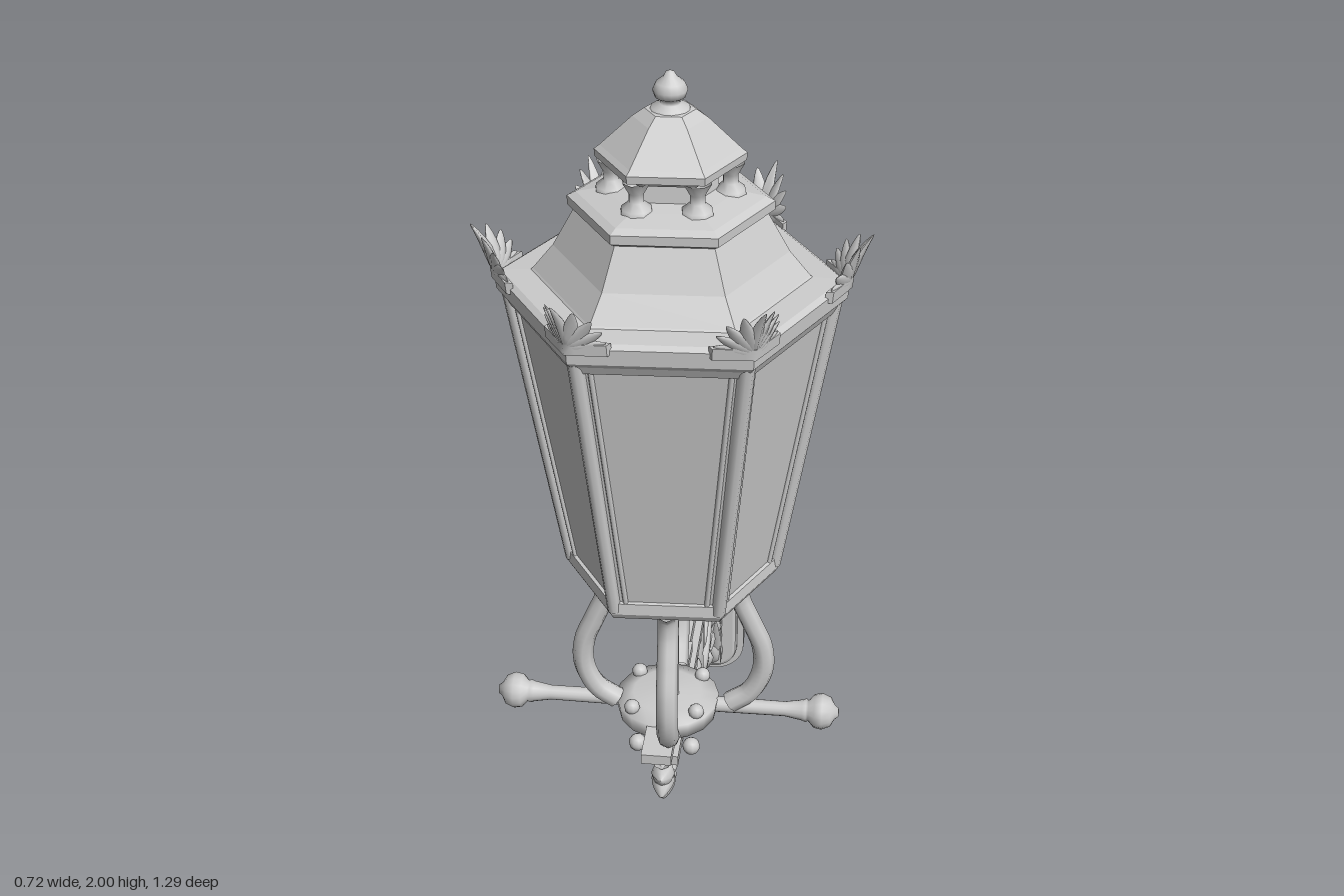
import * as THREE from 'three';
import { mergeGeometries } from 'three/addons/utils/BufferGeometryUtils.js';

const smooth = new THREE.MeshStandardMaterial({ color: 0xcccccc, side: THREE.DoubleSide });
const faceted = new THREE.MeshStandardMaterial({ color: 0xcccccc, flatShading: true, side: THREE.DoubleSide });
const V = (x, y, z) => new THREE.Vector3(x, y, z);

function add(parent, name, geometry, material = smooth, pos = [0, 0, 0]) {
  const mesh = new THREE.Mesh(geometry, material);
  mesh.name = name;
  mesh.position.set(...pos);
  parent.add(mesh);
  return mesh;
}

// Turned profile of [radius, height] pairs; six sides puts corners on the x axis
function turned(profile, sides = 6) {
  const pts = profile.map(([r, y]) => new THREE.Vector2(r, y));
  return new THREE.LatheGeometry(pts, sides, Math.PI / 6);
}

// Tube whose radius runs from r0 to r1
function taperedTube(points, r0, r1, segments = 40) {
  const curve = new THREE.CatmullRomCurve3(points);
  const g = new THREE.TubeGeometry(curve, segments, 1, 8);
  const p = g.attributes.position, v = V();
  for (let i = 0; i < p.count; i++) {
    const t = Math.floor(i / 9) / segments, c = curve.getPointAt(t);
    v.fromBufferAttribute(p, i).sub(c).multiplyScalar(r0 + (r1 - r0) * t).add(c);
    p.setXYZ(i, v.x, v.y, v.z);
  }
  return g;
}

// Pointed leaf growing along +y from the origin
function leafGeometry(length, width, thick) {
  const g = new THREE.SphereGeometry(1, 8, 8);
  const p = g.attributes.position;
  for (let i = 0; i < p.count; i++) {
    const y = p.getY(i), taper = 1 - 0.45 * y;
    p.setXYZ(i, p.getX(i) * taper * width / 2, (y + 1) * length / 2, p.getZ(i) * taper * thick / 2);
  }
  g.computeVertexNormals();
  return g;
}

// Fan of leaves folded around a 120 degree corner and leaning outward (+z)
function palmetteGeometry() {
  const leaves = [];
  for (let i = -4; i <= 4; i++) {
    leaves.push(leafGeometry(0.095 - Math.abs(i) * 0.008, 0.024, 0.016).rotateZ(-i * 0.34));
  }
  leaves.push(new THREE.BoxGeometry(0.13, 0.022, 0.014, 8, 1, 1));
  const g = mergeGeometries(leaves);
  const p = g.attributes.position;
  for (let i = 0; i < p.count; i++) {
    const x = p.getX(i), y = p.getY(i);
    p.setZ(i, p.getZ(i) - Math.abs(x) * 0.55 + Math.max(0, y) * 0.2 + y * y * 2.5);
  }
  g.computeVertexNormals();
  return g;
}

function buildLantern() {
  const lantern = new THREE.Group();
  lantern.name = 'lantern';
  const corner = (i, r, y) => V(r * Math.cos(i * Math.PI / 3), y, r * Math.sin(i * Math.PI / 3));

  add(lantern, 'glassPanes', turned([[0, 1.0], [0.197, 1.0], [0.292, 1.57]]), faceted);
  add(lantern, 'lowerRail', turned([[0.17, 0.99], [0.175, 0.972], [0.2, 0.972], [0.208, 0.985], [0.206, 1.008], [0.19, 1.012]]), faceted);
  add(lantern, 'eave', turned([[0.28, 1.545], [0.299, 1.548], [0.308, 1.565], [0.318, 1.575], [0.32, 1.605], [0.308, 1.612], [0.25, 1.615]]), faceted);
  add(lantern, 'roof', turned([[0.27, 1.6], [0.25, 1.618], [0.212, 1.665], [0.172, 1.738], [0.184, 1.745], [0.184, 1.762], [0.168, 1.77], [0.12, 1.78], [0.085, 1.785], [0.08, 1.84]]), faceted);
  add(lantern, 'chimneyCap', turned([[0.07, 1.812], [0.1, 1.822], [0.115, 1.835], [0.133, 1.838], [0.134, 1.852], [0.124, 1.86], [0.066, 1.915], [0.045, 1.93], [0, 1.935]]), faceted);
  add(lantern, 'finial', turned([[0.038, 1.922], [0.034, 1.934], [0.018, 1.94], [0.017, 1.947], [0.027, 1.953], [0.031, 1.965], [0.025, 1.978], [0.012, 1.988], [0.008, 1.996], [0, 2.0]], 16));

  // Corner posts, edge beads, chimney columns and crowning leaves
  for (let i = 0; i < 6; i++) {
    const yaw = Math.PI / 2 - i * Math.PI / 3;
    const a = corner(i, 0.197, 0.99), b = corner(i, 0.294, 1.57);
    add(lantern, 'cornerPost', taperedTube([a, b], 0.013, 0.015, 1));
    for (const j of [i + 1, i - 1]) {
      const c = a.clone().lerp(corner(j, 0.197, 0.99), 0.12), d = b.clone().lerp(corner(j, 0.294, 1.57), 0.08);
      add(lantern, 'paneBead', taperedTube([c, d], 0.005, 0.005, 1));
    }
    const column = turned([[0.03, 0], [0.028, 0.012], [0.014, 0.024], [0.014, 0.04], [0.026, 0.062]], 8);
    add(lantern, 'chimneyColumn', column, smooth, corner(i, 0.105, 1.772).toArray());
    add(lantern, 'cornerLeaves', palmetteGeometry(), smooth, corner(i, 0.318, 1.607).toArray()).rotation.y = yaw;
  }

  // Four bowed legs and a central rod
  for (let i = 0; i < 4; i++) {
    const path = [[0.165, 0.985], [0.135, 0.955], [0.132, 0.91], [0.155, 0.85], [0.178, 0.79], [0.18, 0.73], [0.155, 0.675], [0.115, 0.645]];
    const leg = add(lantern, 'leg', taperedTube(path.map(([x, y]) => V(x, y, 0)), 0.02, 0.022, 30));
    leg.rotation.y = i * Math.PI / 2;
  }
  add(lantern, 'centralRod', new THREE.CylinderGeometry(0.012, 0.012, 0.37, 10), smooth, [0, 0.815, 0]);
  lantern.position.set(0.013, 0, 0.338);
  lantern.rotation.y = 0.05;
  return lantern;
}

function buildSupport() {
  const support = new THREE.Group();
  support.name = 'support';
  // Cross bar with ball ends, under the lantern
  for (const s of [1, -1]) {
    const bar = turned([[0.022, 0], [0.016, 0.08], [0.015, 0.24], [0.021, 0.275], [0.024, 0.283], [0.021, 0.288], [0.034, 0.3], [0.037, 0.316], [0.03, 0.333], [0.014, 0.342], [0.009, 0.349], [0, 0.35]], 16);
    add(support, 'crossBar', bar, smooth, [0, 0.635, 0.33]).rotation.z = -s * Math.PI / 2;
  }
  add(support, 'saddlePlate', new THREE.BoxGeometry(0.06, 0.022, 0.38), smooth, [0, 0.635, 0.33]);
  add(support, 'saddleDisc', turned([[0, 0.6], [0.06, 0.6], [0.1, 0.615], [0.105, 0.65], [0.07, 0.66], [0, 0.665]], 16), smooth, [0, 0, 0.33]);
  for (const x of [-1, 1]) for (const z of [-1, 1]) {
    add(support, 'bolt', new THREE.SphereGeometry(0.016, 10, 8), smooth, [x * 0.065, 0.66, 0.33 + z * 0.06]);
    add(support, 'lowerBolt', new THREE.SphereGeometry(0.018, 10, 8), smooth, [x * 0.055, 0.57, 0.33 + z * 0.06]);
  }
  // Arm: flanged beam to the wall
  add(support, 'armFlange', new THREE.BoxGeometry(0.072, 0.022, 1.06), smooth, [0, 0.582, -0.075]);
  add(support, 'armWeb', new THREE.BoxGeometry(0.04, 0.04, 1.04), smooth, [0, 0.595, -0.085]);
  return support;
}

function stadium(w, y0, y1, Type = THREE.Shape) {
  const s = new Type();
  s.absarc(0, y1 - w, w, 0, Math.PI, false);
  s.absarc(0, y0 + w, w, Math.PI, Math.PI * 2, false);
  s.closePath();
  return s;
}

function buildWallPlate() {
  const plate = new THREE.Group();
  plate.name = 'wallPlate';
  const slab = (s, depth, bevel) => new THREE.ExtrudeGeometry(s, {
    depth, bevelEnabled: bevel > 0, bevelSize: bevel, bevelThickness: bevel, bevelSegments: 2, curveSegments: 14,
  });
  const rim = stadium(0.076, 0.005, 0.662);
  rim.holes.push(stadium(0.05, 0.032, 0.635, THREE.Path));
  add(plate, 'rim', slab(rim, 0.025, 0), smooth, [0, 0, -0.635]);
  add(plate, 'face', slab(stadium(0.05, 0.035, 0.632), 0.02, 0.01), smooth, [0, 0, -0.615]);
  add(plate, 'spine', new THREE.BoxGeometry(0.045, 0.53, 0.03), smooth, [0, 0.32, -0.575]);
  for (const y of [0.075, 0.61]) add(plate, 'screw', new THREE.SphereGeometry(0.016, 10, 8), smooth, [0, y, -0.588]);
  return plate;
}

function buildScrollwork() {
  const work = new THREE.Group();
  work.name = 'scrollwork';
  const vine = (pts, r0, r1) => add(work, 'vine', taperedTube(pts.map(([z, y]) => V(0, y, z)), r0, r1, 60));
  // Spiral from radius r0 to r1, starting at angle a, ending in a bud
  const spiral = (z, y, r0, r1, a, turns, thick) => {
    const pts = [];
    for (let i = 0; i <= 24; i++) {
      const t = i / 24, r = r0 + (r1 - r0) * t, q = a + turns * t * Math.PI * 2;
      pts.push([z + r * Math.cos(q), y + r * Math.sin(q)]);
    }
    vine(pts, thick, thick * 0.6);
    add(work, 'bud', new THREE.SphereGeometry(thick * 1.2, 10, 8), smooth, [0, ...pts[24].reverse()]);
  };
  // Leaf in the z-y plane; angle 0 points to +z, a quarter turn points up
  const leaf = (z, y, angle, length, width = 0.04) => {
    const mesh = add(work, 'leaf', leafGeometry(length, 0.045, width), smooth, [0, y, z]);
    mesh.rotation.x = Math.PI / 2 - angle;
  };

  vine([[0.43, 0.56], [0.36, 0.53], [0.28, 0.475], [0.17, 0.425], [0.04, 0.4], [-0.06, 0.425], [-0.14, 0.5], [-0.24, 0.555]], 0.02, 0.017);
  spiral(0.385, 0.505, 0.05, 0.016, 1.6, 1.1, 0.017);
  spiral(0.1, 0.505, 0.062, 0.02, -1.4, -1.2, 0.015);
  spiral(-0.32, 0.37, 0.155, 0.025, 2.2, -2.1, 0.02);
  vine([[-0.59, 0.07], [-0.54, 0.16], [-0.47, 0.25], [-0.4, 0.26], [-0.32, 0.225]], 0.026, 0.014);
  vine([[-0.57, 0.16], [-0.53, 0.28], [-0.48, 0.38], [-0.46, 0.47], [-0.4, 0.545], [-0.32, 0.56]], 0.018, 0.015);
  spiral(-0.53, 0.52, 0.045, 0.014, -2, 1, 0.013);
  vine([[0.16, 0.425], [0.11, 0.43], [0.085, 0.445]], 0.015, 0.012);

  // Leaf sprays: below the vine, along the wall, at the nose and the great scroll
  for (let i = 0; i < 6; i++) leaf(-0.08, 0.41, -2.6 + i * 0.5, i % 2 ? 0.115 : 0.09);
  for (let i = 0; i < 5; i++) leaf(-0.6 + i * 0.012, 0.05 + i * 0.05, 0.9 + (i % 2) * 0.35, 0.11, 0.055);
  for (let i = 0; i < 5; i++) leaf(0.39, 0.505, -2.7 + i * 0.75, 0.065, 0.05);
  for (const [z, y, a] of [[-0.14, 0.49, 0.9], [-0.12, 0.47, 0.2], [-0.22, 0.53, -1.4], [-0.43, 0.27, 1.2], [-0.35, 0.25, -2], [-0.46, 0.48, 2.5], [-0.43, 0.26, -0.5], [0.24, 0.46, 1.3], [0.03, 0.41, 1.9]]) leaf(z, y, a, 0.085);
  return work;
}

export function createModel() {
  const model = new THREE.Group();
  model.name = 'wallLantern';
  model.add(buildLantern(), buildSupport(), buildWallPlate(), buildScrollwork());
  return model;
}
